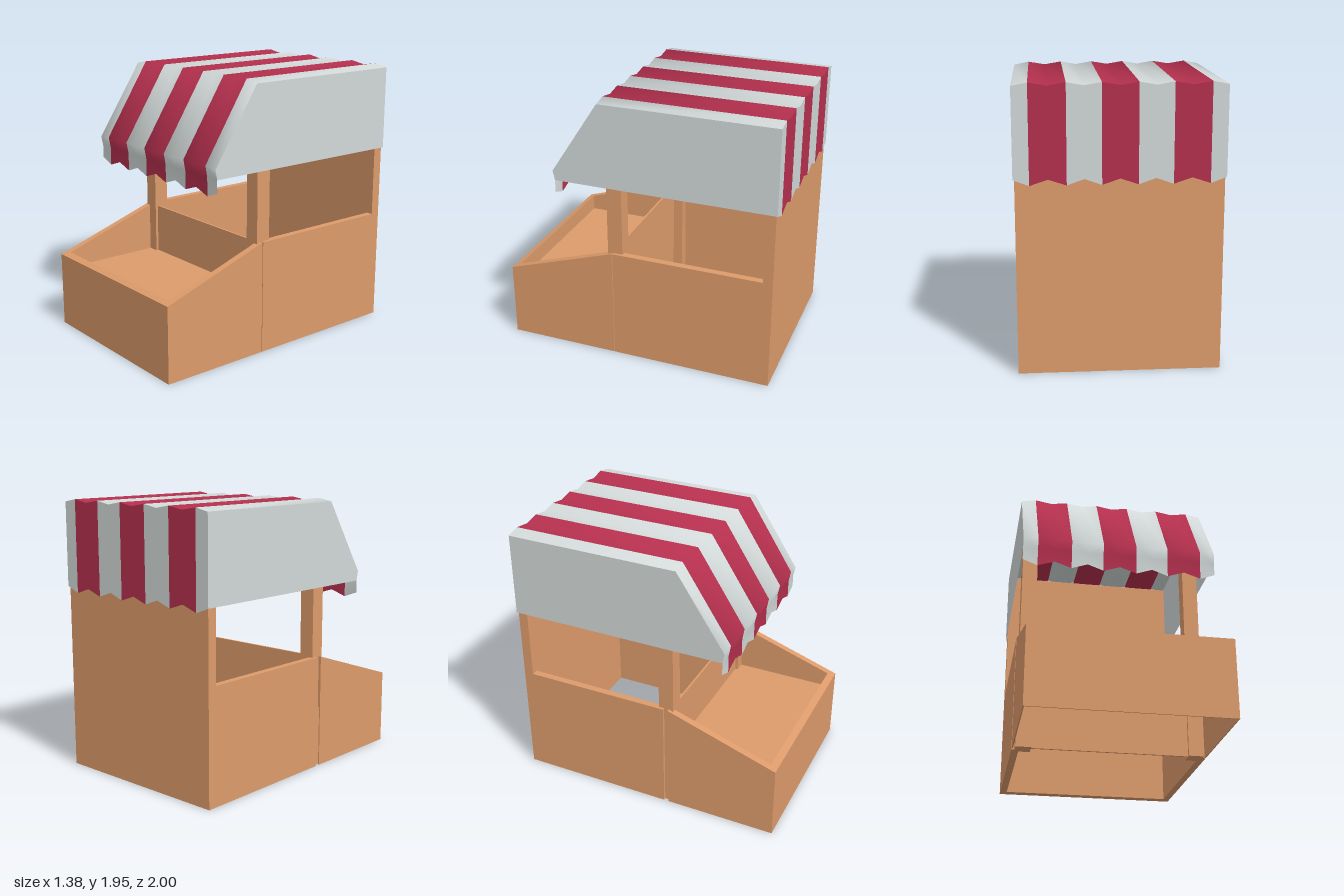
import * as THREE from 'three';
import { toCreasedNormals } from 'three/addons/utils/BufferGeometryUtils.js';

const wood = new THREE.MeshStandardMaterial({ name: 'wood', color: 0xdd9b6b, side: THREE.DoubleSide });
const white = new THREE.MeshStandardMaterial({ name: 'white cloth', color: 0xd2d9d8, side: THREE.DoubleSide });
const red = new THREE.MeshStandardMaterial({ name: 'red cloth', color: 0xb5304e, side: THREE.DoubleSide });

const W = 0.68; // half width of the wooden body

function add(parent, name, geometry, material, x = 0, y = 0, z = 0) {
  const mesh = new THREE.Mesh(geometry, material);
  mesh.name = name;
  mesh.position.set(x, y, z);
  parent.add(mesh);
}

// box given by its minimum and maximum corners
function box(parent, name, a, b) {
  add(parent, name, new THREE.BoxGeometry(b[0] - a[0], b[1] - a[1], b[2] - a[2]), wood,
    (a[0] + b[0]) / 2, (a[1] + b[1]) / 2, (a[2] + b[2]) / 2);
}

// outline in [z, y] pushed out along x from x0 to x1
function sidePlate(parent, name, outline, x0, x1) {
  const shape = new THREE.Shape(outline.map(([z, y]) => new THREE.Vector2(-z, y)));
  const geometry = new THREE.ExtrudeGeometry(shape, { depth: x1 - x0, bevelEnabled: false });
  geometry.rotateY(Math.PI / 2);
  add(parent, name, geometry, wood, x0);
}

// cloth path from back hem over the roof to front hem: [z, y at stripe edge, y at fold valley]
const clothPath = [
  [-1, 1.29, 1.33], [-1, 1.95, 1.93], [0.26, 1.95, 1.93],
  [0.61, 1.41, 1.40], [0.595, 1.33, 1.33], [0.595, 1.20, 1.24],
];

// one striped strip of cloth: columns of [x, is stripe edge] joined along the path
function clothStrip(columns) {
  const positions = [];
  const point = ([x, edge], i) => [x, clothPath[i][edge ? 1 : 2], clothPath[i][0]];
  for (let c = 0; c < columns.length - 1; c++) {
    for (let i = 0; i < clothPath.length - 1; i++) {
      const p = point(columns[c], i), q = point(columns[c + 1], i);
      const r = point(columns[c + 1], i + 1), s = point(columns[c], i + 1);
      positions.push(...p, ...s, ...r, ...p, ...r, ...q);
    }
  }
  const geometry = new THREE.BufferGeometry();
  geometry.setAttribute('position', new THREE.Float32BufferAttribute(positions, 3));
  return toCreasedNormals(geometry, 1.2);
}

export function createModel() {
  const model = new THREE.Group();
  model.name = 'marketStall';

  // open stall body, its right wall set between the posts
  const body = new THREE.Group();
  body.name = 'body';
  model.add(body);
  box(body, 'backPanel', [-W, 0, -0.99], [W, 1.9, -0.92]);
  box(body, 'leftWall', [W - 0.05, 0, -0.92], [W, 0.82, 0.18]);
  box(body, 'rightWall', [-W, 0, -0.92], [-W + 0.05, 0.82, 0.15]);

  // display trough: thin skirt below, thick sloping rim and flat floor above
  const trough = new THREE.Group();
  trough.name = 'displayTrough';
  model.add(trough);
  const floorY = 0.44;
  const cheek = [[0.185, floorY], [1, floorY], [1, 0.55], [0.185, 0.82]];
  for (const s of [-1, 1]) {
    const x0 = s < 0 ? -W : W - 0.05;
    sidePlate(trough, 'troughSide', cheek, x0, x0 + 0.05);
    const skirtX = s < 0 ? -W : W - 0.008;
    box(trough, 'sideSkirt', [skirtX, 0, 0.185], [skirtX + 0.008, floorY, 1]);
  }
  sidePlate(trough, 'troughFront', [[0.95, floorY], [1, floorY], [1, 0.55], [0.95, 0.567]], -W + 0.05, W - 0.05);
  box(trough, 'frontSkirt', [-W + 0.008, 0, 0.992], [W - 0.008, floorY, 1]);
  box(trough, 'troughFloor', [-W + 0.05, floorY, 0.2], [W - 0.05, floorY + 0.01, 0.95]);
  box(trough, 'troughBack', [-W + 0.05, 0, 0.185], [W - 0.05, 0.815, 0.2]);

  // square front posts and roof beam
  const frame = new THREE.Group();
  frame.name = 'frame';
  model.add(frame);
  for (const x of [-0.605, 0.605]) box(frame, 'frontPost', [x - 0.055, 0, 0.11], [x + 0.055, 1.925, 0.22]);
  box(frame, 'roofBeam', [-0.55, 1.66, 0.11], [0.55, 1.77, 0.22]);

  // striped awning with folded cloth and zigzag hems
  const awning = new THREE.Group();
  awning.name = 'awning';
  model.add(awning);
  const edges = [-0.69, -0.585, -0.345, -0.118, 0.118, 0.345, 0.585, 0.69];
  for (let i = 0; i < edges.length - 1; i++) {
    const a = edges[i], b = edges[i + 1];
    const columns = [[a, i > 0], [b, i < edges.length - 2]];
    if (i > 0 && i < edges.length - 2) columns.splice(1, 0, [(a + b) / 2, false]);
    add(awning, i % 2 ? 'redStripe' : 'whiteStripe', clothStrip(columns), i % 2 ? red : white);
  }
  const flap = new THREE.ShapeGeometry(new THREE.Shape([
    [1, 1.33], [1, 1.93], [-0.26, 1.93], [-0.61, 1.4], [-0.595, 1.33],
  ].map(([u, y]) => new THREE.Vector2(u, y))));
  flap.rotateY(Math.PI / 2);
  for (const s of [-1, 1]) add(awning, 'sideFlap', flap, white, s * 0.69);

  return model;
}
